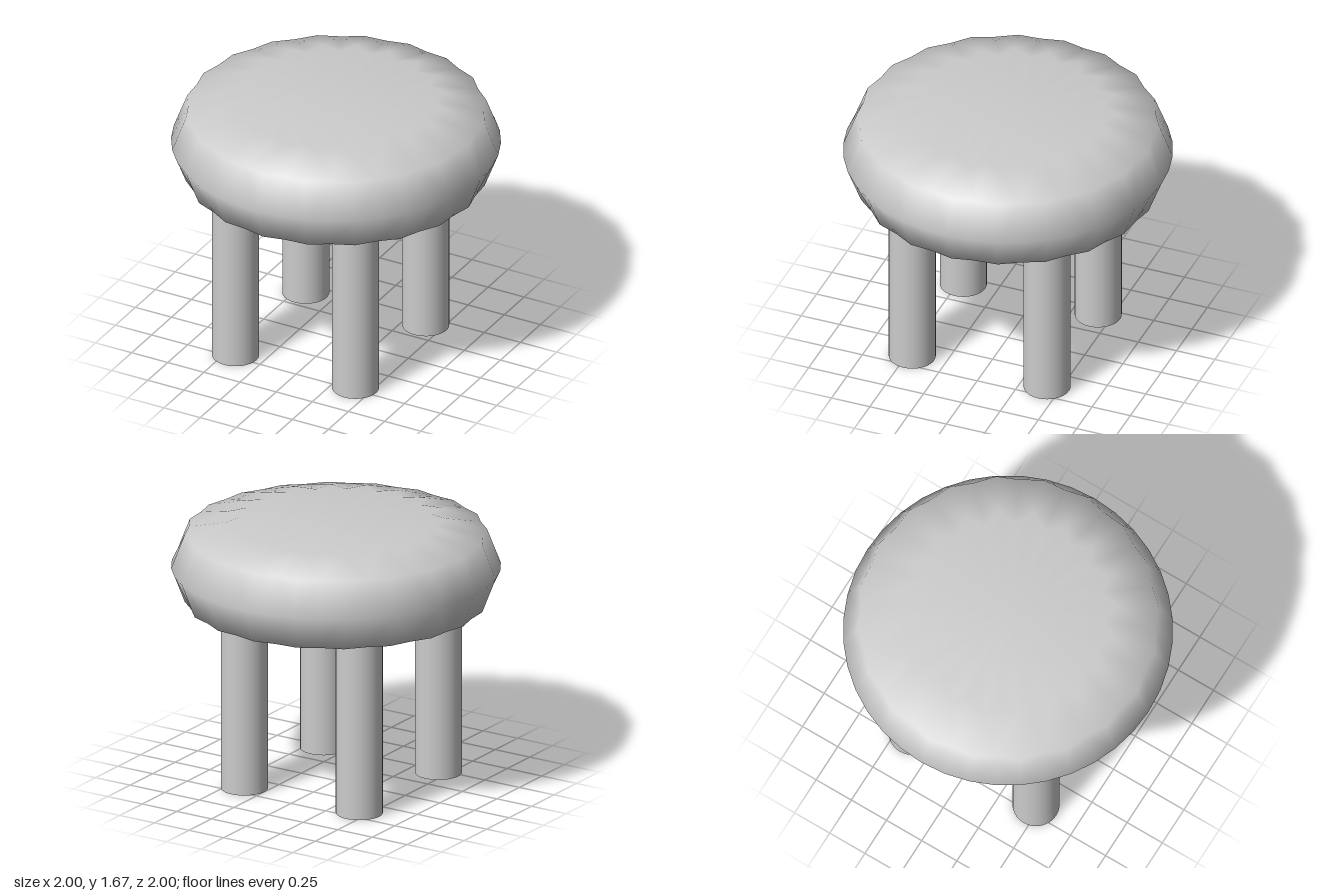
import * as THREE from 'three';

const material = new THREE.MeshStandardMaterial({ color: 0xcccccc });

// Puffy cushion: five rings whose radius alternates to give a scalloped rim
function cushionGeometry() {
  const N = 40;
  const rings = [ // height, radius on scallop tips, radius in the valleys
    [1.09, 0.667, 0.582],
    [1.163, 0.917, 0.896],
    [1.38, 1, 1],
    [1.597, 0.917, 0.896],
    [1.67, 0.667, 0.582],
  ];
  const positions = [], index = [];
  for (const [y, tip, valley] of rings) {
    for (let i = 0; i < N; i++) {
      const t = (i / N) * Math.PI * 2;
      const r = i % 2 ? valley : tip;
      positions.push(r * Math.sin(t), y, r * Math.cos(t));
    }
  }
  const at = (ring, i) => ring * N + (i % N);

  // Walls, with the diagonals starting from the valleys of the rim
  for (let r = 0; r < rings.length - 1; r++) {
    for (let i = 0; i < N; i++) {
      const a = at(r, i), b = at(r, i + 1), c = at(r + 1, i + 1), d = at(r + 1, i);
      if (r % 2 === i % 2) index.push(a, b, c, a, c, d);
      else index.push(a, b, d, b, c, d);
    }
  }

  // Flat underside and top
  const bottom = positions.length / 3, top = bottom + 1;
  positions.push(0, 1.09, 0, 0, 1.67, 0);
  for (let i = 0; i < N; i++) {
    index.push(bottom, at(0, i + 1), at(0, i));
    index.push(top, at(4, i), at(4, i + 1));
  }

  const geometry = new THREE.BufferGeometry();
  geometry.setAttribute('position', new THREE.Float32BufferAttribute(positions, 3));
  geometry.setIndex(index);
  geometry.computeVertexNormals();
  return geometry;
}

export function createModel() {
  const model = new THREE.Group();
  model.name = 'stool';

  const seat = new THREE.Mesh(cushionGeometry(), material);
  seat.name = 'seat';
  model.add(seat);

  // Four straight round legs, set slightly off centre
  const height = 1.25;
  const legGeometry = new THREE.CylinderGeometry(0.143, 0.143, height, 32);
  for (const [zName, z] of [['front', 0.467], ['back', -0.413]]) {
    for (const [xName, x] of [['Left', 0.393], ['Right', -0.437]]) {
      const leg = new THREE.Mesh(legGeometry, material);
      leg.name = `${zName}${xName}Leg`;
      leg.position.set(x, height / 2, z);
      model.add(leg);
    }
  }
  return model;
}
